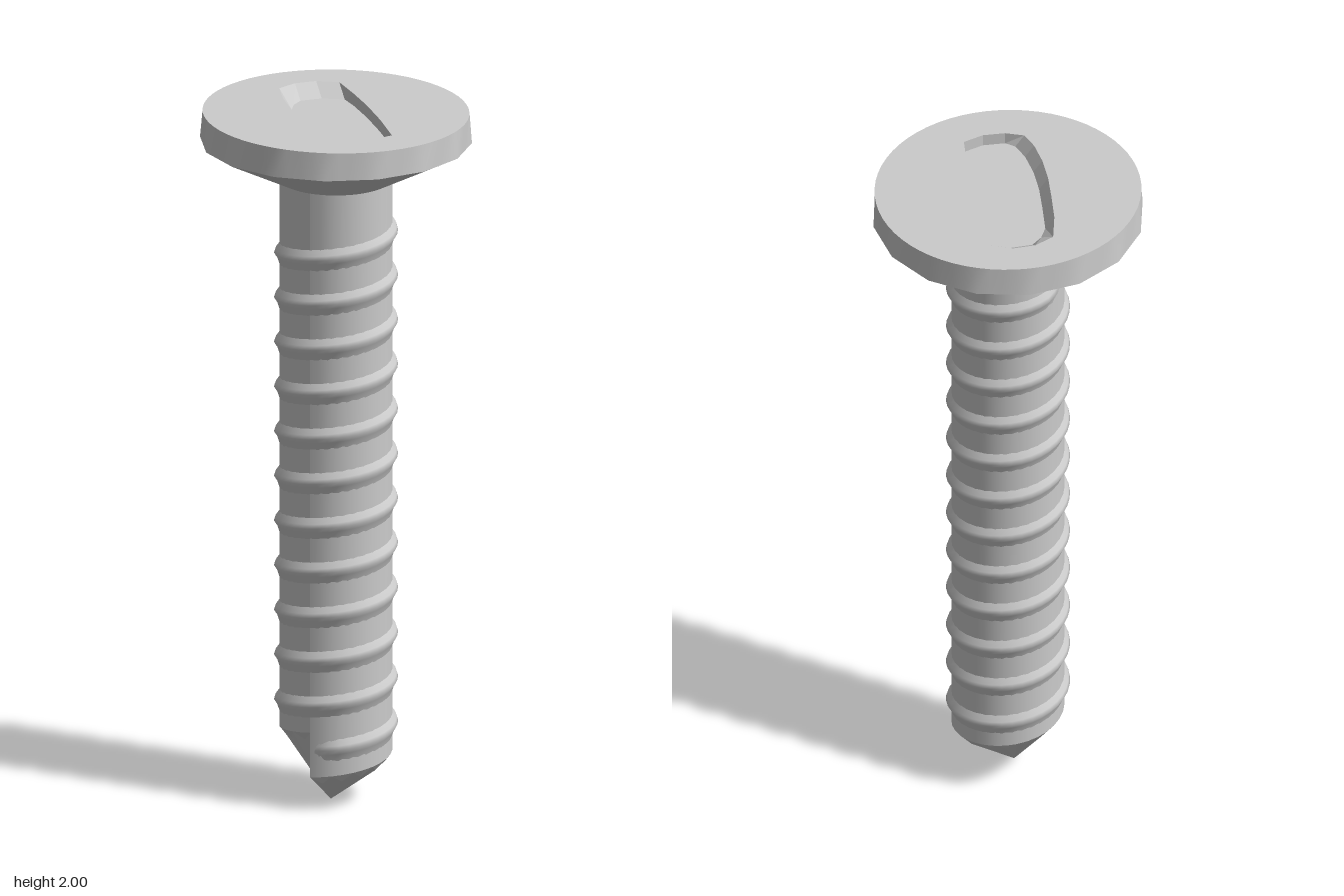
import * as THREE from 'three';

const TAU = Math.PI * 2, PITCH = 0.13, SHAFT_R = 0.157;
const material = new THREE.MeshStandardMaterial({ color: 0xcccccc, side: THREE.DoubleSide });
const flatMaterial = material.clone();
flatMaterial.flatShading = true;

const polar = (a, r, y) => [r * Math.sin(a), y, r * Math.cos(a)];

// Skin over a grid of points: i runs to the right, j runs upward
function skin(nu, nv, point, closed = false) {
  const pos = [], index = [], cols = closed ? nu : nu + 1;
  for (let j = 0; j <= nv; j++)
    for (let i = 0; i < cols; i++) pos.push(...point(i, j));
  for (let j = 0; j < nv; j++)
    for (let i = 0; i < nu; i++) {
      const a = j * cols + i, b = j * cols + (i + 1) % cols;
      index.push(a, b, b + cols, a, b + cols, a + cols);
    }
  const g = new THREE.BufferGeometry();
  g.setAttribute('position', new THREE.Float32BufferAttribute(pos, 3));
  g.setIndex(index);
  g.computeVertexNormals();
  return g;
}

// The top of the head leans down slightly towards +x
const topY = (x) => 1.994 - 0.016 * x;

// Slot outline as [x, z], diagonal across the head
const slot = [
  [-0.23, -0.105], [-0.18, -0.03], [-0.12, 0.04], [-0.06, 0.107], [0, 0.163], [0.06, 0.207],
  [0.11, 0.23], [0.16, 0.208], [0.205, 0.165], [0.23, 0.11],
  [0.14, 0.005], [0.05, -0.09], [-0.03, -0.165], [-0.11, -0.235], [-0.17, -0.212], [-0.212, -0.165],
];
// Floor is drawn in along the bowed long side and the far end
const slotFloor = slot.map(([x, z]) => {
  const side = z - x > 0.115 ? 0.018 : 0, end = x + z < -0.3 ? 0.035 : 0;
  return [x + side + end, z - side + end];
});
const DEPTH = 0.035;

function flatFace(shape, drop) {
  const g = new THREE.ShapeGeometry(shape).rotateX(-Math.PI / 2);
  const p = g.attributes.position;
  for (let i = 0; i < p.count; i++) p.setY(i, topY(p.getX(i)) - drop);
  g.computeVertexNormals();
  return g;
}
const toVectors = (pts) => pts.map(([x, z]) => new THREE.Vector2(x, -z));

export function createModel() {
  const group = new THREE.Group();
  const add = (name, geometry, mat = material) => {
    const mesh = new THREE.Mesh(geometry, mat);
    mesh.name = name;
    group.add(mesh);
  };

  // Head: round top edge, sixteen-sided lower edge
  const N = 64, TOP_R = 0.37;
  const lowerRadius = (a) => {
    const step = TAU / 16, d = (a % step) - step / 2;
    return 0.378 * Math.cos(step / 2) / Math.cos(d);
  };
  const circle = Array.from({ length: N }, (_, i) => {
    const [x, , z] = polar(i / N * TAU, TOP_R, 0);
    return [x, z];
  });
  const disc = new THREE.Shape(toVectors(circle));
  disc.holes.push(new THREE.Path(toVectors(slot)));
  add('headTop', flatFace(disc, 0));
  add('headRim', skin(N, 1, (i, j) => {
    const a = i / N * TAU;
    return j ? polar(a, TOP_R, topY(TOP_R * Math.sin(a))) : polar(a, lowerRadius(a), 1.912);
  }, true));
  add('headUnderside', skin(N, 1, (i, j) => {
    const a = i / N * TAU;
    return j ? polar(a, lowerRadius(a), 1.912) : polar(a, SHAFT_R, 1.8);
  }, true));

  // Driver slot
  add('slotFloor', flatFace(new THREE.Shape(toVectors(slotFloor)), DEPTH));
  add('slotWall', skin(slot.length, 1, (i, j) => {
    const [x, z] = (j ? slotFloor : slot)[i];
    return [x, topY(x) - (j ? DEPTH : 0), z];
  }, true), flatMaterial);

  // Shaft: its lower edge climbs one pitch per turn and is notched
  const S = 32, edgeY = (i) => 0.1 + PITCH * i / S;
  const edge = (i) => i % 2
    ? polar(i / S * TAU, 0.138, edgeY(i) - 0.025)
    : polar(i / S * TAU, SHAFT_R, edgeY(i));
  add('shaft', skin(S, 1, (i, j) => polar(i / S * TAU, SHAFT_R, j ? 1.81 : edgeY(i))));
  add('notches', skin(S, 1, (i, j) => j ? polar(i / S * TAU, SHAFT_R, edgeY(i)) : edge(i)), flatMaterial);

  // Pointed tip, with the small step where its edge meets itself
  const apex = [-0.003, 0, 0.025];
  add('tip', skin(S, 1, (i, j) => j ? edge(i) : apex), flatMaterial);
  add('tipStep', skin(1, 1, (i, j) => j ? edge(i ? 0 : S) : apex), flatMaterial);

  // Thread: a ridge swept up a helix, fading out at both ends
  const profile = [[-0.042, 0.154], [-0.014, 0.163], [0, 0.172], [0.012, 0.168], [0.032, 0.154]];
  const turns = 11.8, steps = Math.round(turns * 36);
  add('thread', skin(steps, profile.length - 1, (i, j) => {
    const t = i / steps * turns, [dy, r] = profile[j];
    const fade = Math.min(1, t * 12, (turns - t) * 12);
    return polar(t * TAU, 0.154 + (r - 0.154) * fade, 0.1775 + PITCH * t + dy);
  }));

  return group;
}
